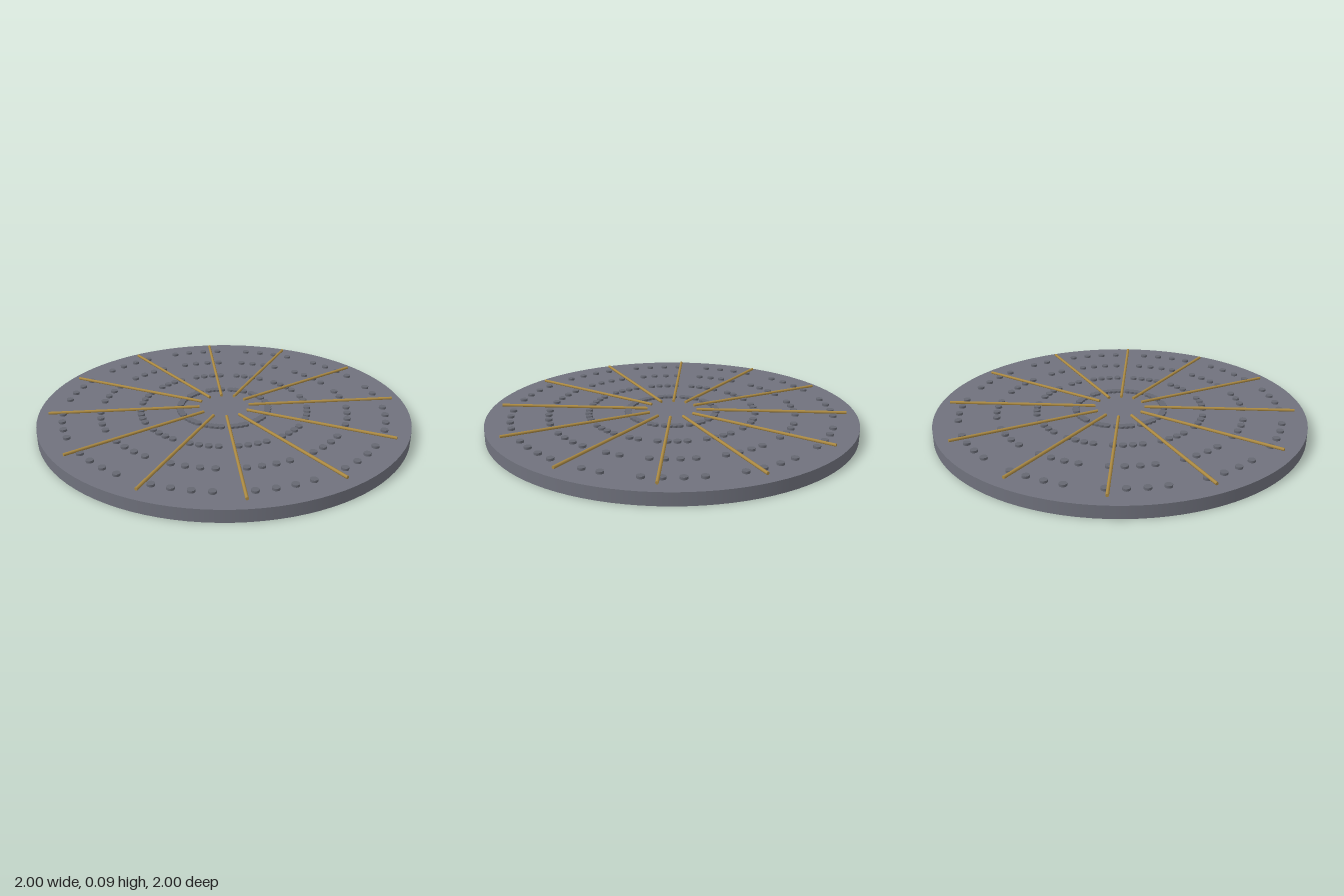
import * as THREE from 'three';

export function createModel() {
  const model = new THREE.Group();
  const material = (name, color) => {
    const m = new THREE.MeshStandardMaterial({ color });
    m.name = name;
    return m;
  };
  const steel = material('grey steel', 0x70727d);
  const darkSteel = material('dark steel', 0x666872);
  const brass = material('brass', 0xac8a42);

  const add = (parent, name, geometry, mat) => {
    const mesh = new THREE.Mesh(geometry, mat);
    mesh.name = name;
    parent.add(mesh);
    return mesh;
  };

  // Flat round plate
  const plateHeight = 0.065;
  add(model, 'plate', new THREE.CylinderGeometry(1, 1, plateHeight, 96), steel)
    .position.y = plateHeight / 2;

  // Four rings of small round studs, every fifth position left empty
  const studs = new THREE.Group();
  studs.name = 'studs';
  model.add(studs);
  const studHeight = 0.012;
  const studGeometry = new THREE.CylinderGeometry(0.019, 0.019, studHeight, 16);
  const steps = 58;
  for (const radius of [0.24, 0.453, 0.667, 0.867]) {
    for (let i = 0; i < steps; i++) {
      if (i % 5 === 0) continue;
      const a = (i / steps) * Math.PI * 2;
      add(studs, 'stud', studGeometry, darkSteel)
        .position.set(Math.cos(a) * radius, plateHeight + studHeight / 2, Math.sin(a) * radius);
    }
  }

  // Twelve thin round rods radiating above the plate
  const rods = new THREE.Group();
  rods.name = 'radialRods';
  model.add(rods);
  const inner = 0.135, outer = 0.943;
  const rodGeometry = new THREE.CylinderGeometry(0.008, 0.008, outer - inner, 8);
  rodGeometry.rotateZ(Math.PI / 2);
  rodGeometry.translate((inner + outer) / 2, 0.08, 0);
  for (let i = 0; i < 12; i++) {
    add(rods, 'radialRod', rodGeometry, brass).rotation.y = (i * Math.PI) / 6;
  }

  return model;
}
